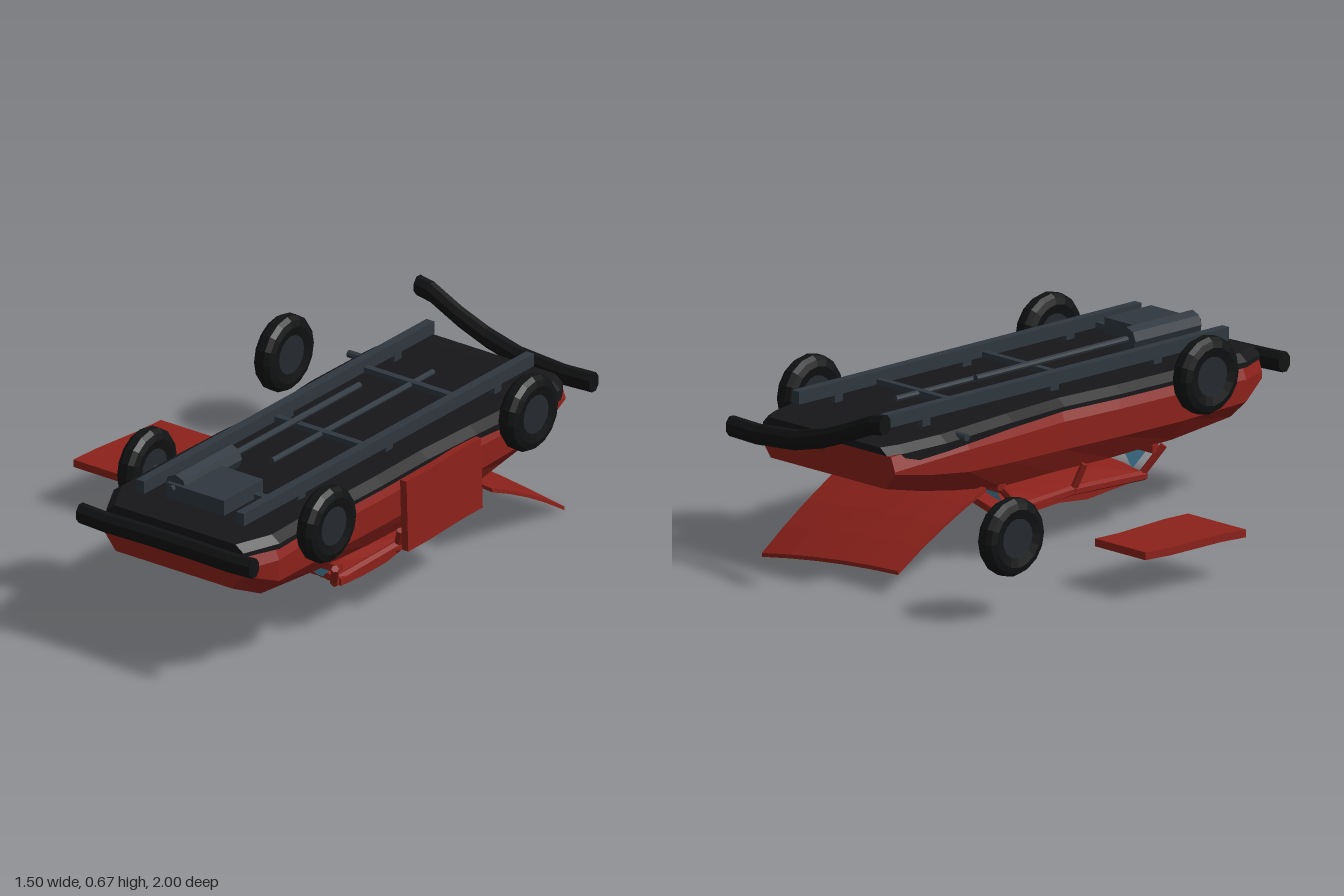
import * as THREE from 'three';

const mat = (color, side = THREE.FrontSide) => new THREE.MeshStandardMaterial({ color, side, flatShading: true });
const RED = mat(0x8c211b), DARK = mat(0x17171a), TYRE = mat(0x111213);
const STEEL = mat(0x2f373e), HUB = mat(0x252a2f), GLASS = mat(0x4f8fb0, THREE.DoubleSide);

// Closed skin through equal-length rings of [x, y, z]
function loft(rings) {
  const n = rings[0].length, pos = rings.flat(2), idx = [];
  for (let i = 0; i < rings.length - 1; i++) {
    for (let j = 0; j < n; j++) {
      const a = i * n + j, b = i * n + (j + 1) % n;
      idx.push(a, b, b + n, a, b + n, a + n);
    }
  }
  const last = (rings.length - 1) * n;
  for (let j = 1; j < n - 1; j++) idx.push(0, j + 1, j, last, last + j, last + j + 1);
  const g = new THREE.BufferGeometry();
  g.setAttribute('position', new THREE.Float32BufferAttribute(pos, 3));
  g.setIndex(idx);
  g.computeVertexNormals();
  return g;
}

// Moves every vertex of a geometry by a rule
function warp(g, rule) {
  const p = g.attributes.position, v = new THREE.Vector3();
  for (let i = 0; i < p.count; i++) {
    v.fromBufferAttribute(p, i);
    rule(v);
    p.setXYZ(i, v.x, v.y, v.z);
  }
  g.computeVertexNormals();
  return g;
}

export function createModel() {
  const model = new THREE.Group();
  const add = (name, geo, material, x = 0, y = 0, z = 0) => {
    const m = new THREE.Mesh(geo, material);
    m.name = name;
    m.position.set(x, y, z);
    model.add(m);
    return m;
  };
  const box = (name, material, x0, x1, y0, y1, z0, z1) =>
    add(name, new THREE.BoxGeometry(x1 - x0, y1 - y0, z1 - z0), material, (x0 + x1) / 2, (y0 + y1) / 2, (z0 + z1) / 2);
  const rod = (name, material, a, b, r, sides = 8) => {
    const p = new THREE.Vector3(...a), q = new THREE.Vector3(...b), d = q.clone().sub(p);
    const m = add(name, new THREE.CylinderGeometry(r, r, d.length(), sides), material);
    m.position.copy(p.add(q).multiplyScalar(0.5));
    m.quaternion.setFromUnitVectors(new THREE.Vector3(0, 1, 0), d.normalize());
    return m;
  };

  // Overturned body shell: z, left x, right x, top y, side y, bottom y, bottom inset
  const shell = [
    [-0.89, -0.05, 0.62, 0.46, 0.40, 0.34, 0.05],
    [-0.72, -0.06, 0.66, 0.47, 0.37, 0.30, 0.06],
    [-0.55, -0.07, 0.665, 0.48, 0.35, 0.27, 0.07],
    [-0.33, -0.06, 0.66, 0.48, 0.34, 0.24, 0.06],
    [-0.06, -0.04, 0.65, 0.48, 0.33, 0.24, 0.05],
    [0.2, -0.055, 0.655, 0.48, 0.33, 0.24, 0.06],
    [0.5, -0.06, 0.65, 0.48, 0.33, 0.25, 0.06],
    [0.8, -0.06, 0.66, 0.47, 0.34, 0.27, 0.08],
    [0.93, -0.005, 0.605, 0.465, 0.39, 0.33, 0.05],
  ];
  add('bodyShell', loft(shell.map(([z, l, r, t, s, b, k]) => [
    [l + k, b, z], [r - k, b, z], [r, s, z], [r, t - 0.05, z],
    [r - 0.02, t, z], [l + 0.02, t, z], [l, t - 0.05, z], [l, s, z],
  ])), RED);

  // Underside pan: z, left x, right x, bottom y, top y
  const pan = [
    [-0.89, -0.01, 0.61, 0.42, 0.485], [-0.83, -0.04, 0.645, 0.425, 0.49], [-0.66, -0.072, 0.668, 0.445, 0.50],
    [-0.33, -0.062, 0.663, 0.465, 0.51], [-0.06, -0.042, 0.653, 0.47, 0.51], [0.2, -0.06, 0.658, 0.47, 0.51],
    [0.5, -0.065, 0.655, 0.47, 0.51], [0.8, -0.063, 0.663, 0.465, 0.51], [0.925, 0, 0.6, 0.46, 0.50],
  ];
  add('underside', loft(pan.map(([z, l, r, b, t]) => [
    [l, b, z], [r, b, z], [r, t - 0.025, z], [r - 0.035, t, z], [l + 0.035, t, z], [l, t - 0.025, z],
  ])), DARK);

  // Chassis frame and running gear
  for (const x of [0.083, 0.52]) box('frameRail', STEEL, x - 0.017, x + 0.017, 0.53, 0.577, -0.82, 0.84);
  for (const z of [-0.43, 0.08, 0.63]) box('crossMember', STEEL, 0.09, 0.51, 0.53, 0.55, z - 0.013, z + 0.013);
  for (const x of [0.083, 0.52]) for (const z of [-0.62, 0, 0.5]) box('frameMount', STEEL, x - 0.012, x + 0.012, 0.49, 0.54, z - 0.02, z + 0.02);
  box('engineSump', STEEL, 0.18, 0.43, 0.53, 0.588, 0.59, 0.815);
  rod('gearbox', STEEL, [0.208, 0.573, 0.48], [0.208, 0.573, 0.8], 0.046);
  rod('exhaustPipe', STEEL, [0.208, 0.575, -0.25], [0.208, 0.575, 0.83], 0.012);
  rod('driveShaft', STEEL, [0.3, 0.54, -0.55], [0.3, 0.54, 0.37], 0.011);
  rod('frontAxle', STEEL, [-0.08, 0.485, 0.575], [0.69, 0.485, 0.575], 0.014);
  rod('rearAxle', STEEL, [-0.095, 0.485, -0.585], [0.69, 0.485, -0.585], 0.014);

  // Wheels: three still mounted, one lying loose
  const tyre = new THREE.LatheGeometry([[0.07, -0.032], [0.105, -0.04], [0.128, -0.033], [0.14, -0.015],
    [0.14, 0.015], [0.128, 0.033], [0.105, 0.04], [0.07, 0.032]].map(p => new THREE.Vector2(...p)), 16);
  const hub = new THREE.CylinderGeometry(0.071, 0.071, 0.068, 16);
  const wheel = (name, x, y, z) => {
    const g = new THREE.Group();
    g.name = name;
    g.add(new THREE.Mesh(tyre, TYRE), new THREE.Mesh(hub, HUB));
    g.children[0].name = 'tyre';
    g.children[1].name = 'hub';
    g.rotation.z = Math.PI / 2;
    g.position.set(x, y, z);
    model.add(g);
  };
  wheel('frontLeftWheel', 0.695, 0.487, 0.575);
  wheel('rearLeftWheel', 0.695, 0.487, -0.58);
  wheel('frontRightWheel', -0.09, 0.487, 0.575);
  wheel('looseWheel', -0.562, 0.268, -0.825);

  // Bumpers: hexagonal-bar sweep along x
  const bumper = (name, path) => add(name, loft(path.map(([x, y, z]) => Array.from({ length: 8 }, (_, i) => {
    const a = (i + 0.5) * Math.PI / 4;
    return [x, y + 0.038 * Math.cos(a), z + 0.029 * Math.sin(a)];
  }))), TYRE);
  bumper('frontBumper', [[-0.08, 0.455, 0.967], [0.03, 0.45, 0.967], [0.2, 0.448, 0.958], [0.4, 0.448, 0.958], [0.57, 0.45, 0.967], [0.68, 0.455, 0.967]]);
  bumper('rearBumper', [[-0.09, 0.605, -0.977], [-0.03, 0.595, -0.977], [0.1, 0.54, -0.968], [0.22, 0.495, -0.968], [0.36, 0.46, -0.968], [0.55, 0.445, -0.972], [0.68, 0.45, -0.975]]);

  // Crushed roof with a buckled centre
  add('roof', warp(new THREE.BoxGeometry(0.58, 0.025, 0.7, 6, 1, 5), v => {
    const s = v.x / 0.29, t = v.z / 0.35;
    v.y += 0.035 * (1 - s * s) + 0.012 * s + 0.01 * Math.sin(5 * t + 3 * s);
    v.x += 0.02 * t;
  }), RED, 0.3, 0.142, 0.03);

  // Bent pillars and roof rails on both sides
  for (const s of [-1, 1]) {
    const px = d => 0.305 + s * d, lift = s * 0.012;
    rod('frontPillar', RED, [px(0.325), 0.245, 0.44], [px(0.27), 0.14 + lift, 0.37], 0.014, 6);
    rod('middlePillar', RED, [px(0.32), 0.25, 0.06], [px(0.28), 0.14 + lift, 0.03], 0.013, 6);
    rod('rearPillar', RED, [px(0.325), 0.245, -0.35], [px(0.28), 0.15 + lift, -0.22], 0.014, 6);
    rod('roofRailFront', RED, [px(0.28), 0.15 + lift, 0.39], [px(0.29), 0.165 + lift, 0.03], 0.018, 6);
    rod('roofRailRear', RED, [px(0.29), 0.165 + lift, 0.03], [px(0.28), 0.14 + lift, -0.32], 0.018, 6);
  }
  for (const z of [0.41, -0.33]) box('windowSill', RED, -0.01, 0.63, 0.222, 0.25, z - 0.015, z + 0.015);

  // Glass shards left in the front and rear openings
  for (const [z, lean] of [[0.405, -0.03], [-0.325, 0.07]]) {
    for (const [a, b, tip, y] of [[0.03, 0.165, 0.07, 0.155], [0.23, 0.38, 0.3, 0.185], [0.43, 0.59, 0.52, 0.155]]) {
      const g = new THREE.BufferGeometry().setFromPoints([[a, 0.225, z], [tip, y, z + lean], [b, 0.225, z]].map(p => new THREE.Vector3(...p)));
      g.computeVertexNormals();
      add('glassShard', g, GLASS);
    }
  }

  // Lid hanging down at the back, bent and twisted
  add('hangingLid', warp(new THREE.BoxGeometry(0.68, 0.014, 0.46, 5, 1, 4), v => {
    const s = v.x / 0.34, t = 0.5 - v.z / 0.46;
    v.y += 0.255 - 0.15 * t - 0.055 * t * t - (s + 1) * (0.013 + 0.022 * t) + 0.012 * (1 - s * s);
    v.x += 0.31 - 0.035 * t;
    v.z -= 0.66;
  }), RED);

  // Doors: one still hanging on the side, one lying loose
  const doorBend = v => {
    v.x += 0.008 * Math.sin(9 * v.z) - 0.03 * v.y;
  };
  add('hangingDoor', warp(new THREE.BoxGeometry(0.028, 0.265, 0.445, 1, 3, 4), doorBend), RED, 0.682, 0.348, -0.1);
  add('looseDoor', warp(new THREE.BoxGeometry(0.262, 0.028, 0.45, 3, 1, 4), v => {
    if (v.x < 0) v.x -= 0.028 * (v.z + 0.1) * (v.x / -0.131) / 0.33;
    v.y += 0.004 * Math.sin(12 * v.z);
  }), RED, -0.602, 0.135, -0.105);

  return model;
}
